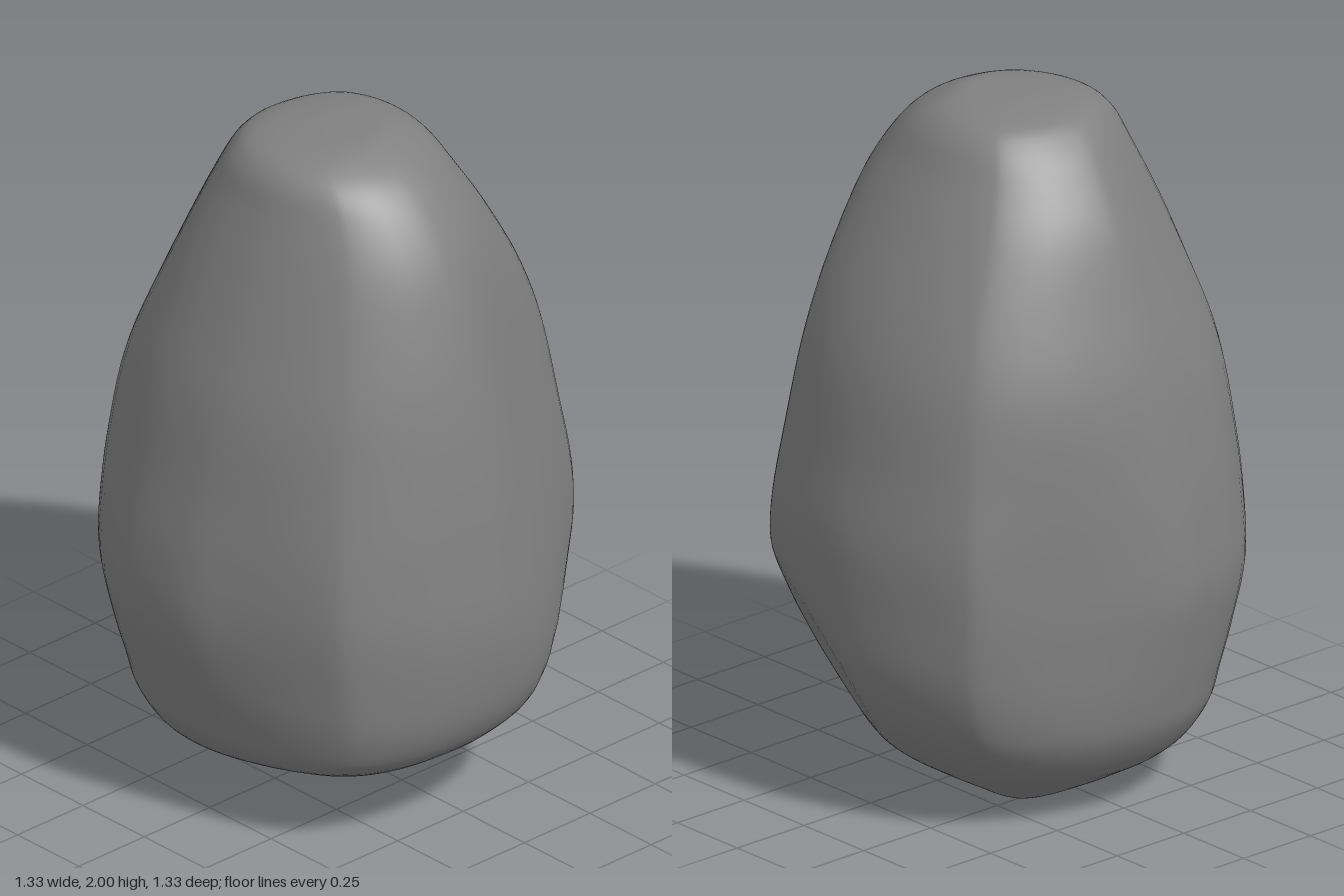
import * as THREE from 'three';
import { mergeVertices } from 'three/addons/utils/BufferGeometryUtils.js';

// Height, then the left/right and back/front extents of each cross-section
const SECTIONS = [
  [0.0, -0.2, -0.2, -0.1, -0.1],
  [0.01, -0.3, -0.12, -0.2, 0.0],
  [0.04, -0.37, 0.02, -0.26, 0.2],
  [0.08, -0.44, 0.2, -0.33, 0.33],
  [0.14, -0.53, 0.36, -0.42, 0.45],
  [0.24, -0.6, 0.54, -0.53, 0.54],
  [0.34, -0.628, 0.62, -0.6, 0.58],
  [0.48, -0.65, 0.655, -0.648, 0.625],
  [0.66, -0.668, 0.667, -0.66, 0.66],
  [0.85, -0.65, 0.648, -0.657, 0.65],
  [1.05, -0.617, 0.622, -0.622, 0.61],
  [1.3, -0.565, 0.578, -0.575, 0.555],
  [1.5, -0.505, 0.528, -0.5, 0.485],
  [1.7, -0.435, 0.458, -0.39, 0.407],
  [1.84, -0.352, 0.377, -0.302, 0.348],
  [1.93, -0.277, 0.292, -0.245, 0.308],
  [1.98, -0.2, 0.2, -0.18, 0.24],
  [2.0, -0.06, 0.13, -0.08, 0.1],
  [2.0, 0.04, 0.04, 0.0, 0.0],
];

// Widest plan outline (x, z), walked from the back round by the left side
const OUTLINE = [
  [-0.08, -0.66], [0.08, -0.655], [0.2, -0.63], [0.35, -0.57], [0.45, -0.45],
  [0.6, -0.23], [0.65, -0.07], [0.665, 0.04], [0.64, 0.2], [0.6, 0.31],
  [0.53, 0.43], [0.45, 0.495], [0.2, 0.6], [0.06, 0.65], [-0.1, 0.66],
  [-0.22, 0.64], [-0.4, 0.54], [-0.58, 0.37], [-0.64, 0.2], [-0.667, 0.08],
  [-0.65, -0.03], [-0.58, -0.24], [-0.48, -0.48], [-0.41, -0.55], [-0.25, -0.62],
];

// Worn facets: plane normal and distance from the origin
const FACETS = [
  [0.85, 0.19, -0.48, 0.76],   // steep back left side
  [0.41, -0.45, -0.8, 0.29],   // undercut at the back left
  [-0.75, 0.41, 0.5, 1.08],    // upper front right shoulder
  [0.2, -0.92, 0.34, 0.03],    // sloping underside at the front left
].map(([x, y, z, d]) => ({ normal: new THREE.Vector3(x, y, z).normalize(), d }));

// Blunt corners: direction in plan, then the bulge below and above the widest level
const CORNERS = [
  [1, 1, 0.12, 0],
  [-1, -1, 0.06, 0.04],
  [-1, 1, 0, 0.06],
];

// Press a point softly behind every facet plane
function wear(p) {
  const softness = 0.017;
  for (const { normal, d } of FACETS) {
    const over = p.dot(normal) - d;
    p.addScaledVector(normal, -softness * Math.log(1 + Math.exp(over / softness)));
  }
  return p;
}

// Away from the widest level the outline grows rounder, with blunt corners
function soften(o, y) {
  const away = THREE.MathUtils.smoothstep(Math.abs(y - 0.7), 0, 0.6);
  const round = o.clone().normalize();
  let bulge = 0;
  for (const [x, z, low, high] of CORNERS) {
    const facing = Math.max(0, (round.x * x + round.z * z) * Math.SQRT1_2);
    bulge += (y < 0.7 ? low : high) * facing ** 8;
  }
  return o.lerp(round, 0.75 * away).multiplyScalar(1 + bulge * away);
}

function spline(points, closed) {
  return new THREE.CatmullRomCurve3(points, closed, 'catmullrom', 0.5);
}

function stoneGeometry(around = 100, rows = 90) {
  const xCurve = spline(SECTIONS.map(([y, x0, x1]) => new THREE.Vector3(x0, y, x1)), false);
  const zCurve = spline(SECTIONS.map(([y, , , z0, z1]) => new THREE.Vector3(z0, y, z1)), false);
  const outline = spline(OUTLINE.map(([x, z]) => new THREE.Vector3(x / 0.667, 0, z / 0.66)), true);

  // Fit the outline into the extents of each row
  const positions = [];
  for (let j = 0; j <= rows; j++) {
    const xs = xCurve.getPoint(j / rows);
    const zs = zCurve.getPoint(j / rows);
    const y = THREE.MathUtils.clamp(xs.y, 0, 2);
    for (let i = 0; i < around; i++) {
      const o = soften(outline.getPoint(i / around), y);
      const p = new THREE.Vector3(
        (xs.x + xs.z) / 2 + (o.x * (xs.z - xs.x)) / 2,
        y,
        (zs.x + zs.z) / 2 + (o.z * (zs.z - zs.x)) / 2,
      );
      positions.push(...wear(p).toArray());
    }
  }

  const index = [];
  for (let j = 0; j < rows; j++) {
    for (let i = 0; i < around; i++) {
      const a = j * around + i;
      const b = j * around + ((i + 1) % around);
      index.push(a, a + around, b, b, a + around, b + around);
    }
  }

  const geometry = new THREE.BufferGeometry();
  geometry.setAttribute('position', new THREE.Float32BufferAttribute(positions, 3));
  geometry.setIndex(index);
  const welded = mergeVertices(geometry, 1e-5);
  welded.computeVertexNormals();
  return welded;
}

export function createModel() {
  const group = new THREE.Group();
  group.name = 'rock';
  const stone = new THREE.Mesh(stoneGeometry(), new THREE.MeshStandardMaterial({ color: 0x808080 }));
  stone.name = 'stone';
  group.add(stone);
  return group;
}
